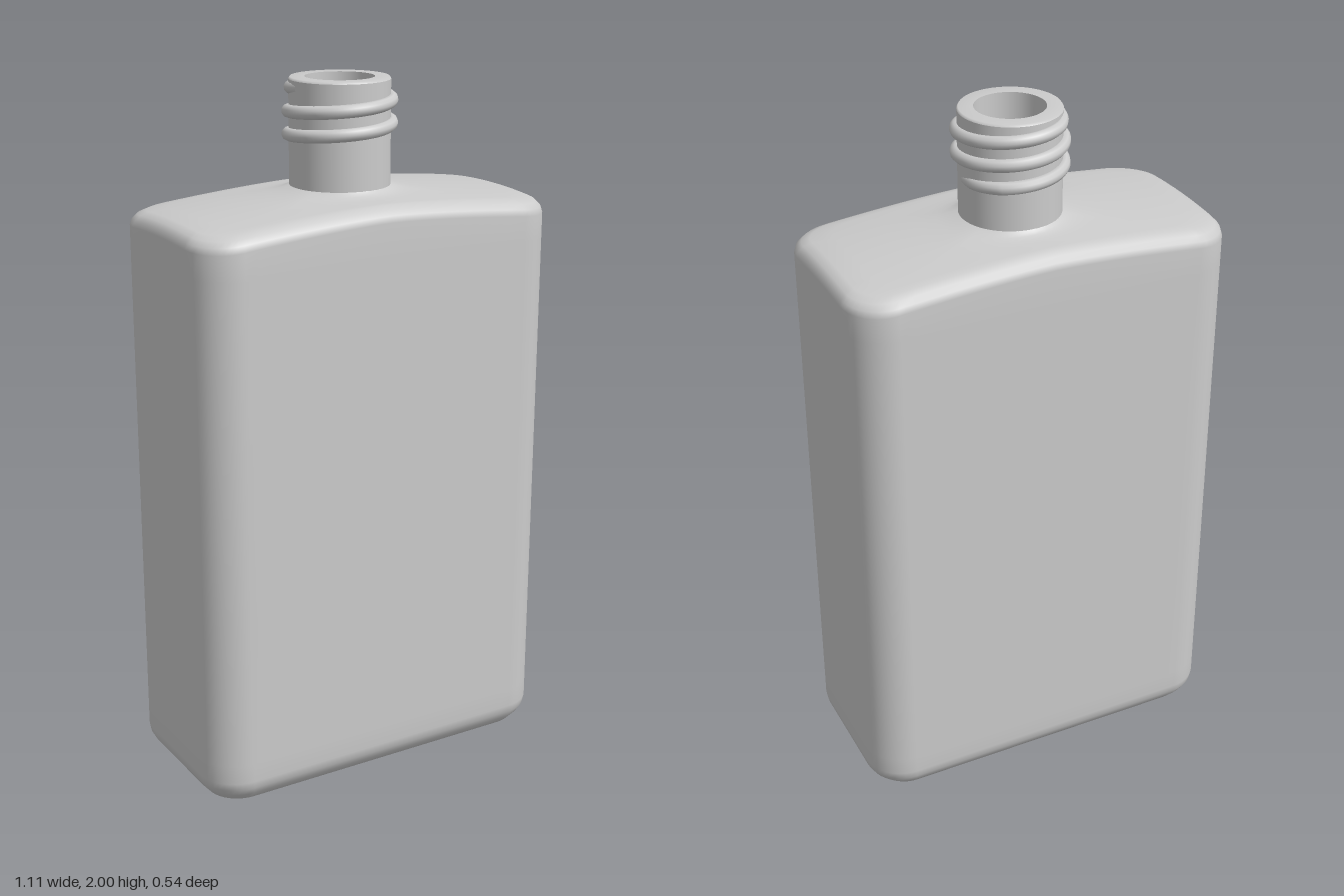
import * as THREE from 'three';

const HX = 0.555, HZ = 0.272, R = 0.115, NECK = 0.14;
const material = new THREE.MeshStandardMaterial({ color: 0xcccccc, side: THREE.DoubleSide });

// Rounded rectangle, inset by d, with extra points along the straight edges
function outline(d) {
  const hx = HX - d, hz = HZ - d, r = Math.max(R - d * 0.6, 0.04);
  const corners = [[1, 1], [-1, 1], [-1, -1], [1, -1]];
  const pts = [];
  corners.forEach(([sx, sz], k) => {
    const cx = sx * (hx - r), cz = sz * (hz - r);
    for (let i = 0; i <= 10; i++) {
      const a = (k + i / 10) * Math.PI / 2;
      pts.push([cx + r * Math.cos(a), cz + r * Math.sin(a)]);
    }
    const [nx, nz] = corners[(k + 1) % 4];
    const a = (k + 1) * Math.PI / 2;
    const end = [nx * (hx - r) + r * Math.cos(a), nz * (hz - r) + r * Math.sin(a)];
    const start = pts[pts.length - 1];
    const n = k % 2 ? 8 : 20;
    for (let i = 1; i < n; i++) {
      pts.push([0, 1].map(c => start[c] + (end[c] - start[c]) * i / n));
    }
  });
  return pts.map(([x, z]) => [x, -z]);
}

// Height of the arched shoulder
const crown = (x, z) =>
  1.698 - 0.036 * Math.pow(Math.abs(x) / 0.5, 1.5) - 0.015 * Math.pow(z / 0.25, 2);

// Skin a stack of closed rings
function loft(rings) {
  const n = rings[0].length, index = [];
  for (let i = 0; i < rings.length - 1; i++) {
    for (let j = 0; j < n; j++) {
      const a = i * n + j, b = i * n + (j + 1) % n;
      index.push(a, b, b + n, a, b + n, a + n);
    }
  }
  const g = new THREE.BufferGeometry();
  g.setAttribute('position', new THREE.Float32BufferAttribute(rings.flat(2), 3));
  g.setIndex(index);
  g.computeVertexNormals();
  return g;
}

function bodyGeometry() {
  const rings = [];
  // Slightly bulged base
  for (const s of [0, 0.25, 0.5, 0.75, 0.95]) {
    rings.push(outline(0.05).map(([x, z]) => [x * s, 0.018 * s * s, z * s]));
  }
  // Bevelled lower edge and straight walls
  for (const [d, y] of [[0.047, 0.019], [0.036, 0.026], [0.016, 0.05], [0.004, 0.072],
    [0, 0.095], [0, 0.15], [0, 0.6], [0, 1.1], [0, 1.54]]) {
    rings.push(outline(d).map(([x, z]) => [x, y, z]));
  }
  // Rounded shoulder edge
  for (const [d, drop] of [[0, 0.036], [0.005, 0.019], [0.018, 0.007], [0.04, 0]]) {
    rings.push(outline(d).map(([x, z]) => [x, crown(x, z) - drop, z]));
  }
  // Shoulder blending into the round neck
  for (const t of [0.15, 0.3, 0.5, 0.7, 0.85, 0.94, 1]) {
    rings.push(outline(0.04).map(([x, z]) => {
      const len = Math.hypot(x, z);
      const px = x + (x / len * NECK - x) * t, pz = z + (z / len * NECK - z) * t;
      return [px, crown(px, pz) + 0.014 * Math.pow(t, 8), pz];
    }));
  }
  return loft(rings);
}

// Each straight run gets its own lathe so the rim edges stay sharp
function lathe(points) {
  return new THREE.LatheGeometry(points.map(([r, y]) => new THREE.Vector2(r, y)), 64);
}

// Right-handed helix whose ends sink into the neck
class Helix extends THREE.Curve {
  getPoint(t, target = new THREE.Vector3()) {
    const a = t * Math.PI * 5;
    const fade = Math.min(1, t / 0.06, (1 - t) / 0.06);
    const r = 0.124 + 0.018 * fade;
    return target.set(r * Math.cos(a), 1.818 + 0.157 * t, -r * Math.sin(a));
  }
}

export function createModel() {
  const group = new THREE.Group();
  const add = (name, geometry, parent = group) => {
    const mesh = new THREE.Mesh(geometry, material);
    mesh.name = name;
    parent.add(mesh);
    return mesh;
  };

  add('body', bodyGeometry());

  const neck = new THREE.Group();
  neck.name = 'neck';
  group.add(neck);
  add('neckWall', lathe([[NECK, 1.68], [NECK, 1.75], [NECK, 1.994]]), neck);
  add('rim', lathe([[NECK, 1.994], [0.136, 2], [0.096, 2]]), neck);
  add('bore', lathe([[0.096, 2], [0.096, 1.72]]), neck);

  // Rounded bottom of the opening
  const bowl = [];
  for (let i = 0; i <= 10; i++) {
    const a = i / 10 * Math.PI / 2;
    bowl.push([0.096 * Math.cos(a), 1.72 - 0.096 * Math.sin(a)]);
  }
  add('boreBottom', lathe(bowl), neck);

  add('screwThread', new THREE.TubeGeometry(new Helix(), 200, 0.018, 10, false), neck);
  return group;
}
